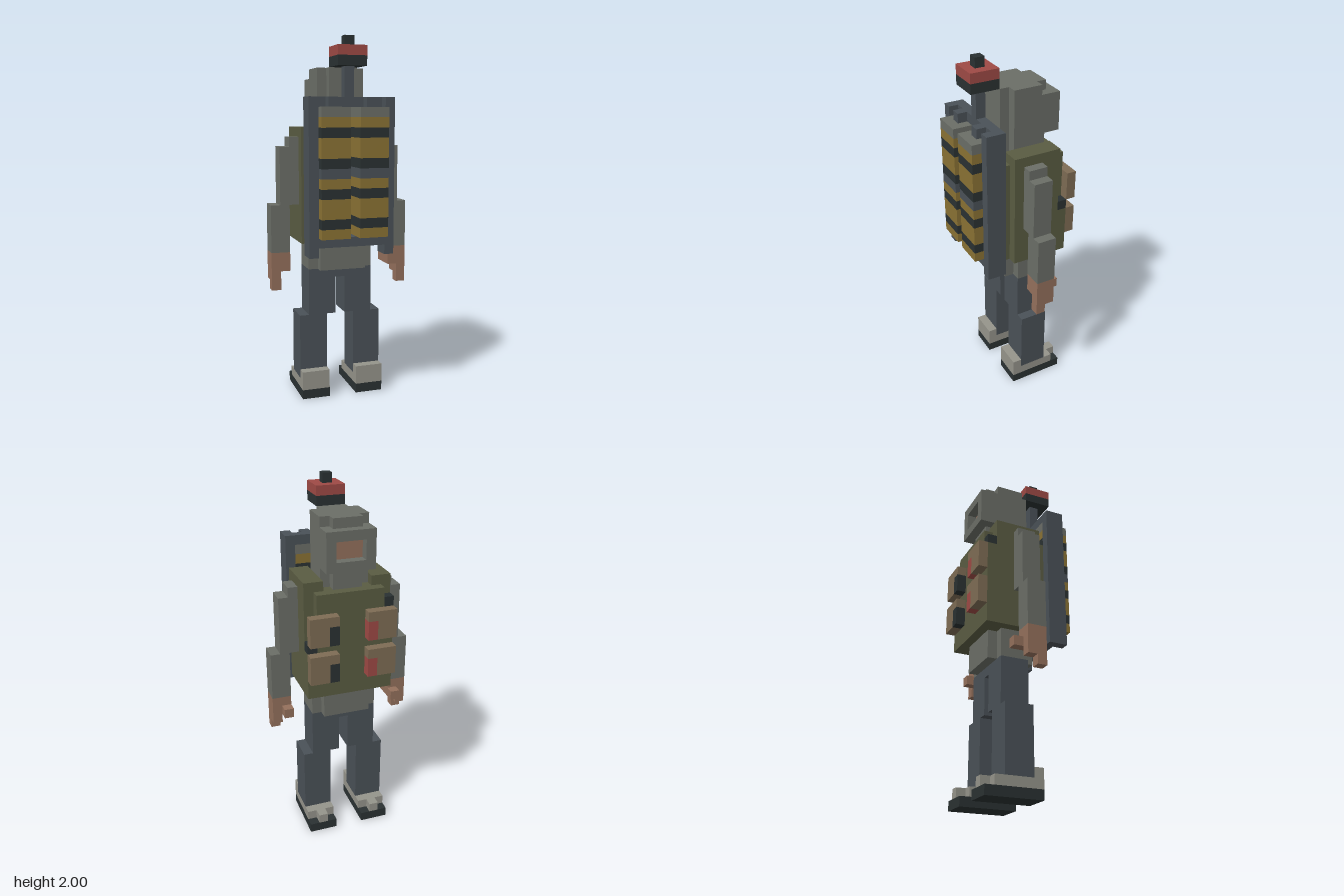
import * as THREE from 'three';

const U = 2 / 38; // size of one voxel

const mat = (name, color) => {
  const m = new THREE.MeshStandardMaterial({ color });
  m.name = name;
  return m;
};

export function createModel() {
  const grey = mat('greyCloth', 0x6b6e67);
  const olive = mat('oliveVest', 0x5a5c42);
  const slate = mat('slate', 0x4a5157);
  const black = mat('black', 0x2a3132);
  const skin = mat('skin', 0x94705c);
  const brown = mat('brownPouch', 0x7e6c54);
  const red = mat('red', 0x9e4a45);
  const yellow = mat('yellow', 0x8a7234);
  const pale = mat('paleShoe', 0x95948b);

  const root = new THREE.Group();
  root.name = 'backpackFigure';
  const group = (name) => {
    const g = new THREE.Group();
    g.name = name;
    root.add(g);
    return g;
  };

  // box between two corners, in voxels
  const box = (parent, name, m, x0, x1, y0, y1, z0, z1) => {
    const geo = new THREE.BoxGeometry((x1 - x0) * U, (y1 - y0) * U, (z1 - z0) * U);
    const mesh = new THREE.Mesh(geo, m);
    mesh.position.set((x0 + x1) / 2 * U, (y0 + y1) / 2 * U, (z0 + z1) / 2 * U);
    mesh.name = name;
    parent.add(mesh);
  };
  // the same box on side s (+1 or -1)
  const side = (parent, s, name, m, x0, x1, ...yz) =>
    s > 0 ? box(parent, name, m, x0, x1, ...yz) : box(parent, name, m, -x1, -x0, ...yz);

  // hooded head with face opening
  const head = group('head');
  box(head, 'hood', grey, -2.5, 2.5, 28, 35, -2.5, 0.5);
  box(head, 'hoodBack', grey, -1.5, 1.5, 28, 35, 0.5, 1.5);
  box(head, 'hoodTop', grey, -1.5, 1.5, 34, 35, -3.5, -2.5);
  box(head, 'hoodBrow', grey, -2.5, 2.5, 33, 34, -4.5, -2.5);
  box(head, 'chin', grey, -1.5, 1.5, 28, 30, -3.5, -2.5);
  box(head, 'chinGuard', grey, -1.5, 1.5, 30, 31, -4.5, -2.5);
  box(head, 'face', skin, -1.5, 1.5, 31, 33, -3.5, -2.5);
  for (const s of [1, -1]) side(head, s, 'hoodCheek', grey, 1.5, 2.5, 30, 33, -4.5, -2.5);

  // vest with stepped shoulders and notched front corners
  const torso = group('torso');
  box(torso, 'vest', olive, -4.5, 4.5, 17, 28, -3.5, 1.5);
  box(torso, 'vestFront', olive, -3.5, 3.5, 17, 28, -4.5, -3.5);
  box(torso, 'vestBack', olive, -3.5, 3.5, 17, 28, 1.5, 2.5);
  for (const s of [1, -1]) {
    const top = s > 0 ? 22 : 26;
    side(torso, s, 'vestCorner', olive, 3.5, 4.5, 17, top, -4.5, -3.5);
    side(torso, s, 'cornerClip', black, 3.5, 4.5, top, top + 1, -4.5, -3.5);
    side(torso, s, 'shoulderStrap', olive, 2.5, 4.5, 28, 29, -3.5, 1.5);
    // pouches with a coloured inner pocket
    for (const y of [19, 23]) {
      side(torso, s, 'pouch', brown, 2.5, 4.5, y, y + 3, -5.5, -4.5);
      side(torso, s, 'pouchFlap', brown, 1.5, 2.5, y + 2, y + 3, -5.5, -4.5);
      side(torso, s, 'pouchPocket', s > 0 ? black : red, 1.5, 2.5, y, y + 2, -5.5, -4.5);
    }
  }
  box(torso, 'shirt', grey, -3.5, 3.5, 14, 17, -2.5, 0.5);
  box(torso, 'shirtFront', grey, -2.5, 2.5, 14, 17, -3.5, -2.5);
  box(torso, 'shirtTail', grey, -2.5, 2.5, 14, 17, 0.5, 1.5);

  for (const s of [1, -1]) {
    // arms and hands
    const arm = group(s > 0 ? 'leftArm' : 'rightArm');
    side(arm, s, 'upperArm', grey, 4.5, 6.5, 21, 27, -1.5, 0.5);
    side(arm, s, 'shoulder', grey, 4.5, 5.5, 27, 28, -1.5, 0.5);
    side(arm, s, 'forearm', grey, 5.5, 7.5, 16, 21, -1.5, 0.5);
    side(arm, s, 'hand', skin, 5.5, 7.5, 14, 16, -1.5, 0.5);
    side(arm, s, 'longFinger', skin, 6.5, 7.5, 12, 14, -0.5, 0.5);
    side(arm, s, 'shortFinger', skin, 6.5, 7.5, 13, 14, -1.5, -0.5);
    side(arm, s, 'thumb', skin, 5.5, 6.5, 14, 15, -2.5, -1.5);

    // legs and shoes
    const leg = group(s > 0 ? 'leftLeg' : 'rightLeg');
    side(leg, s, 'thigh', slate, 0.5, 3.5, 9, 14, -2.5, 0.5);
    side(leg, s, 'shin', slate, 1.5, 4.5, 2, 9, -2.5, 0.5);
    side(leg, s, 'sole', black, 1.5, 4.5, 0, 1, -4.5, 1.5);
    side(leg, s, 'shoe', pale, 1.5, 4.5, 1, 2, -3.5, 1.5);
    side(leg, s, 'heel', pale, 1.5, 4.5, 2, 3, 0.5, 1.5);
    side(leg, s, 'toe', pale, 2.5, 3.5, 1, 2, -4.5, -3.5);
  }
  box(torso, 'crotch', slate, -0.5, 0.5, 13, 14, -2.5, 0.5);

  // pack frame
  const pack = group('backpack');
  box(pack, 'topBar', slate, -3.5, 3.5, 31, 32, 2.5, 3.5);
  box(pack, 'bottomBar', slate, -3.5, 3.5, 17, 18, 2.5, 4.5);
  // tank stripes as [bottom, top, colour]
  const stripes = [
    [18, 19, yellow], [19, 20, black], [20, 22, yellow], [22, 23, black], [23, 24, yellow],
    [24, 25, slate], [25, 26, black], [26, 28, yellow], [28, 29, black], [29, 30, yellow], [30, 31, grey],
  ];
  for (const s of [1, -1]) {
    side(pack, s, 'sideRail', slate, 3.5, 4.5, 16, 32, 2.5, 4.5);
    side(pack, s, 'tankClamp', slate, 1.5, 2.5, 31, 32, 3.5, 4.5);
    for (const [y0, y1, m] of stripes) side(pack, s, 'tankBand', m, 0.5, 3.5, y0, y1, 2.5, 5.5);
  }

  // beacon on a pole
  const beacon = group('beacon');
  box(beacon, 'pole', slate, -0.5, 0.5, 32, 35, 2.5, 3.5);
  box(beacon, 'beaconBase', black, -1.5, 1.5, 35, 36, 1.5, 4.5);
  box(beacon, 'beaconLamp', red, -1.5, 1.5, 36, 37, 1.5, 4.5);
  box(beacon, 'beaconTip', black, -0.5, 0.5, 37, 38, 2.5, 3.5);

  return root;
}
